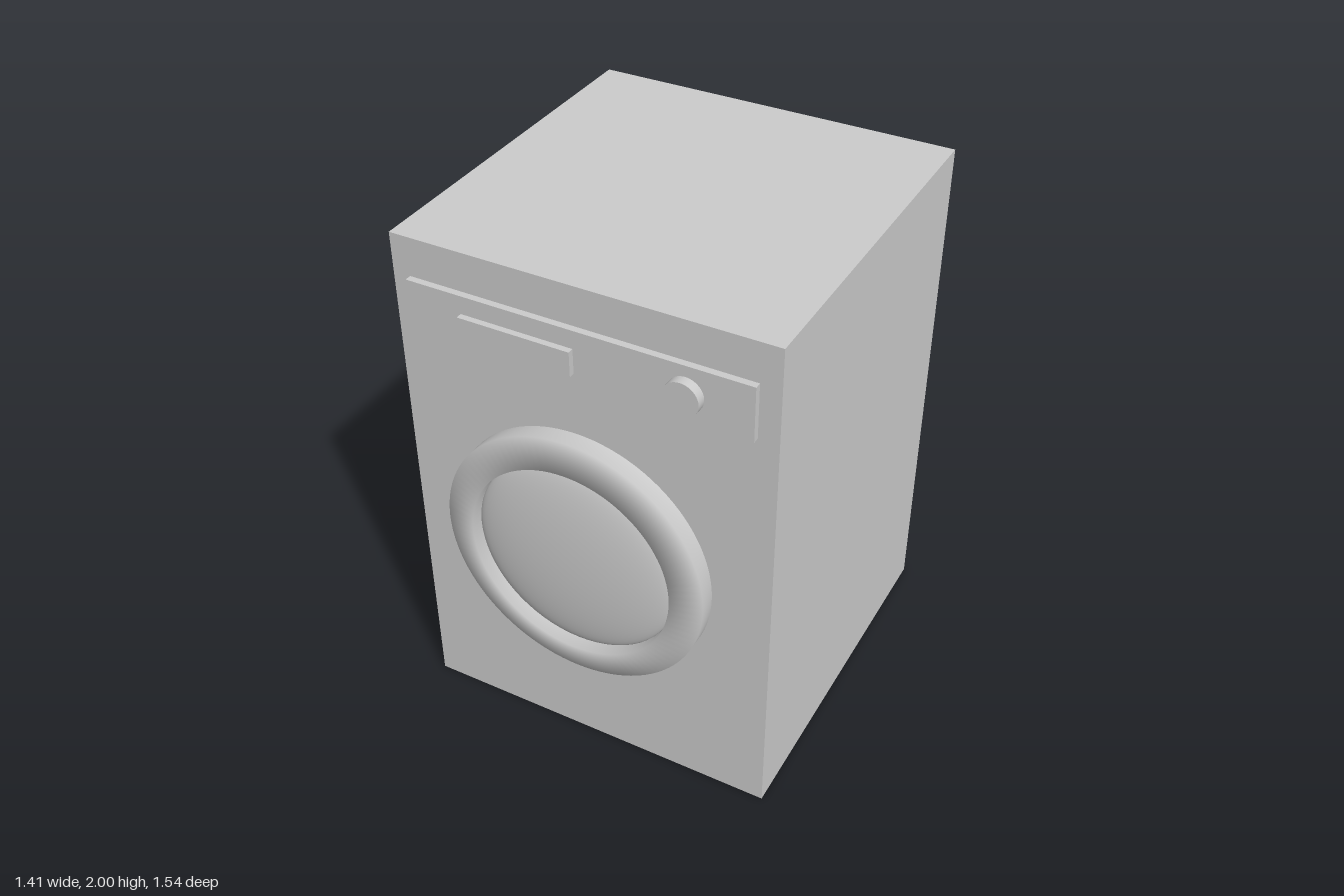
import * as THREE from 'three';

export function createModel() {
  const group = new THREE.Group();
  group.name = 'washingMachine';
  const grey = new THREE.MeshStandardMaterial({ color: 0xcccccc });
  grey.name = 'grey';

  const add = (name, geometry, x, y, z, parent = group) => {
    const mesh = new THREE.Mesh(geometry, grey);
    mesh.name = name;
    mesh.position.set(x, y, z);
    parent.add(mesh);
    return mesh;
  };
  // Box given by its limits on each axis
  const box = (name, x0, x1, y0, y1, z0, z1) => add(name,
    new THREE.BoxGeometry(x1 - x0, y1 - y0, z1 - z0),
    (x0 + x1) / 2, (y0 + y1) / 2, (z0 + z1) / 2);

  // Cabinet and controls
  box('cabinet', -0.706, 0.706, 0, 2, -0.771, 0.641);
  box('controlPanel', -0.634, 0.634, 1.652, 1.858, 0.648, 0.673);
  box('display', -0.424, -0.002, 1.696, 1.79, 0.674, 0.697);
  add('dial', new THREE.CylinderGeometry(0.065, 0.065, 0.036, 48).rotateX(Math.PI / 2), 0.4, 1.756, 0.696);

  // Round door: bevelled ring with a lens-shaped window
  const door = new THREE.Group();
  door.name = 'door';
  door.position.set(0, 0.956, 0);
  group.add(door);
  const profile = [[0.505, 0.68], [0.505, 0.745], [0.39, 0.77], [0.39, 0.68]]
    .map(([r, z]) => new THREE.Vector2(r, z));
  add('doorRing', new THREE.LatheGeometry(profile, 96).rotateX(Math.PI / 2), 0, 0, 0, door);
  add('doorRingBack', new THREE.RingGeometry(0.39, 0.505, 96).rotateY(Math.PI), 0, 0, 0.68, door);
  const lens = new THREE.SphereGeometry(0.39, 64, 32).rotateX(Math.PI / 2).scale(1, 1, 0.146);
  add('doorWindow', lens, 0, 0, 0.714, door);

  return group;
}
